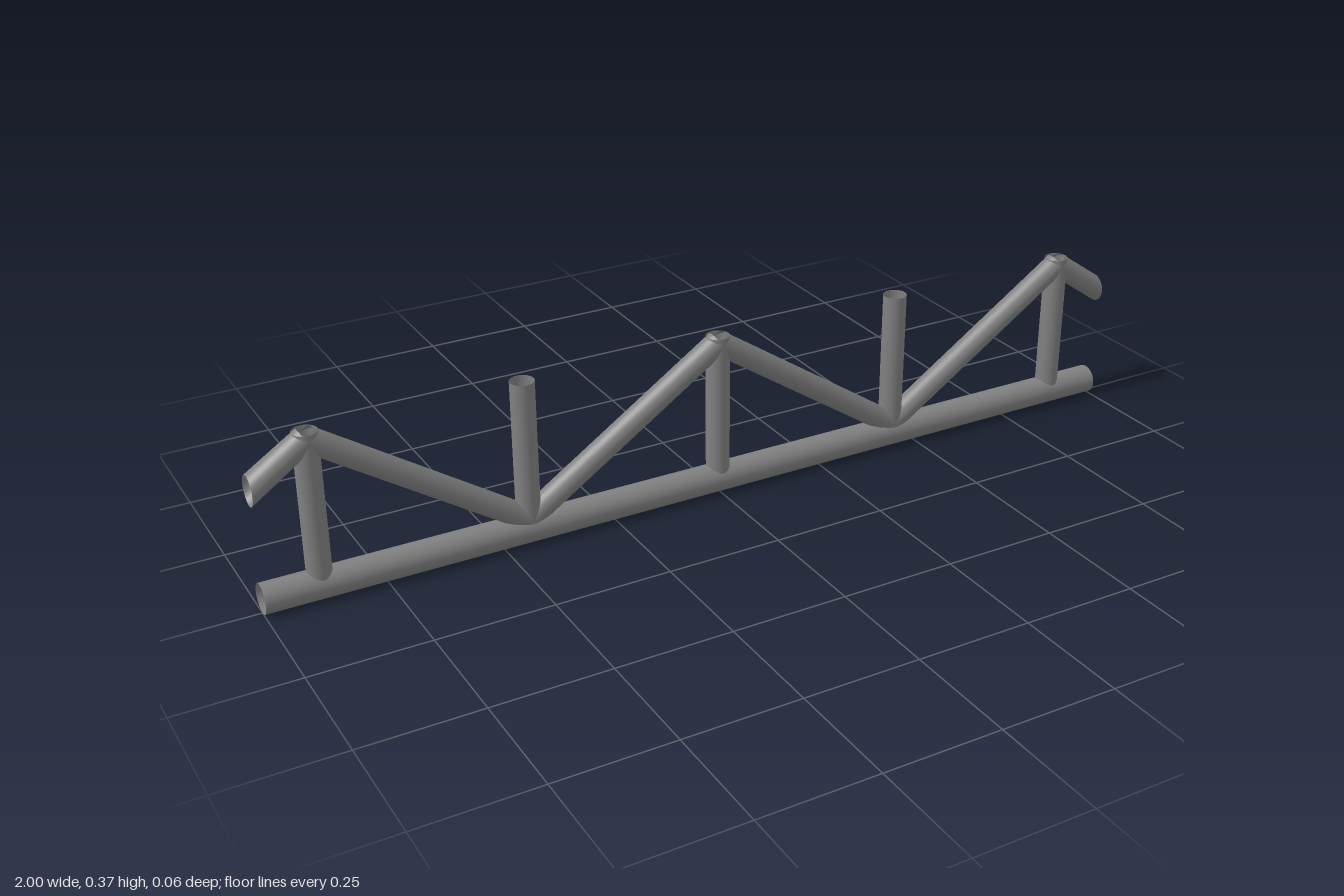
import * as THREE from 'three';

const CHORD_R = 0.0315, TUBE_R = 0.0255, SEG = 32;
const HIGH = 0.3455, LOW = 0.052, BAY = 0.441;

export function createModel() {
  const truss = new THREE.Group();
  truss.name = 'truss';
  const material = new THREE.MeshStandardMaterial({ color: 0x808080, side: THREE.DoubleSide });

  // Open round tube between two points in the xy plane
  function tube(name, x0, y0, x1, y1, radius) {
    const a = new THREE.Vector3(x0, y0, 0), b = new THREE.Vector3(x1, y1, 0);
    const direction = b.clone().sub(a);
    const geometry = new THREE.CylinderGeometry(radius, radius, direction.length(), SEG, 1, true);
    const turn = new THREE.Quaternion().setFromUnitVectors(new THREE.Vector3(0, 1, 0), direction.normalize());
    const middle = a.add(b).multiplyScalar(0.5);
    geometry.applyQuaternion(turn).translate(middle.x, middle.y, 0);
    const mesh = new THREE.Mesh(geometry, material);
    mesh.name = name;
    truss.add(mesh);
    return mesh;
  }

  // Bottom chord
  tube('bottomChord', -1, CHORD_R, 1, CHORD_R, CHORD_R);

  // Vertical posts and the zigzag diagonals between them
  for (let i = -2; i <= 2; i++) {
    tube('post', i * BAY, 0.034, i * BAY, 0.361, TUBE_R);
    if (i < 2) {
      const even = i % 2 === 0;
      tube('diagonal', i * BAY, even ? HIGH : LOW, (i + 1) * BAY, even ? LOW : HIGH, TUBE_R);
    }
  }

  // Cut-off end diagonals: square to the axis at the peak, an upright circle at the outer end
  const endY = 0.265;
  for (const side of [-1, 1]) {
    const { geometry } = tube('endDiagonal', side * 2 * BAY, HIGH, side, endY, TUBE_R);
    const p = geometry.attributes.position;
    const slope = Math.atan2(HIGH - endY, 1 - 2 * BAY);
    for (let i = 0; i <= SEG; i++) {
      // The first ring of vertices is the outer end
      const scale = CHORD_R / TUBE_R;
      p.setXYZ(i, side, endY + (p.getY(i) - endY) / Math.cos(slope) * scale, p.getZ(i) * scale);
    }
  }
  return truss;
}
